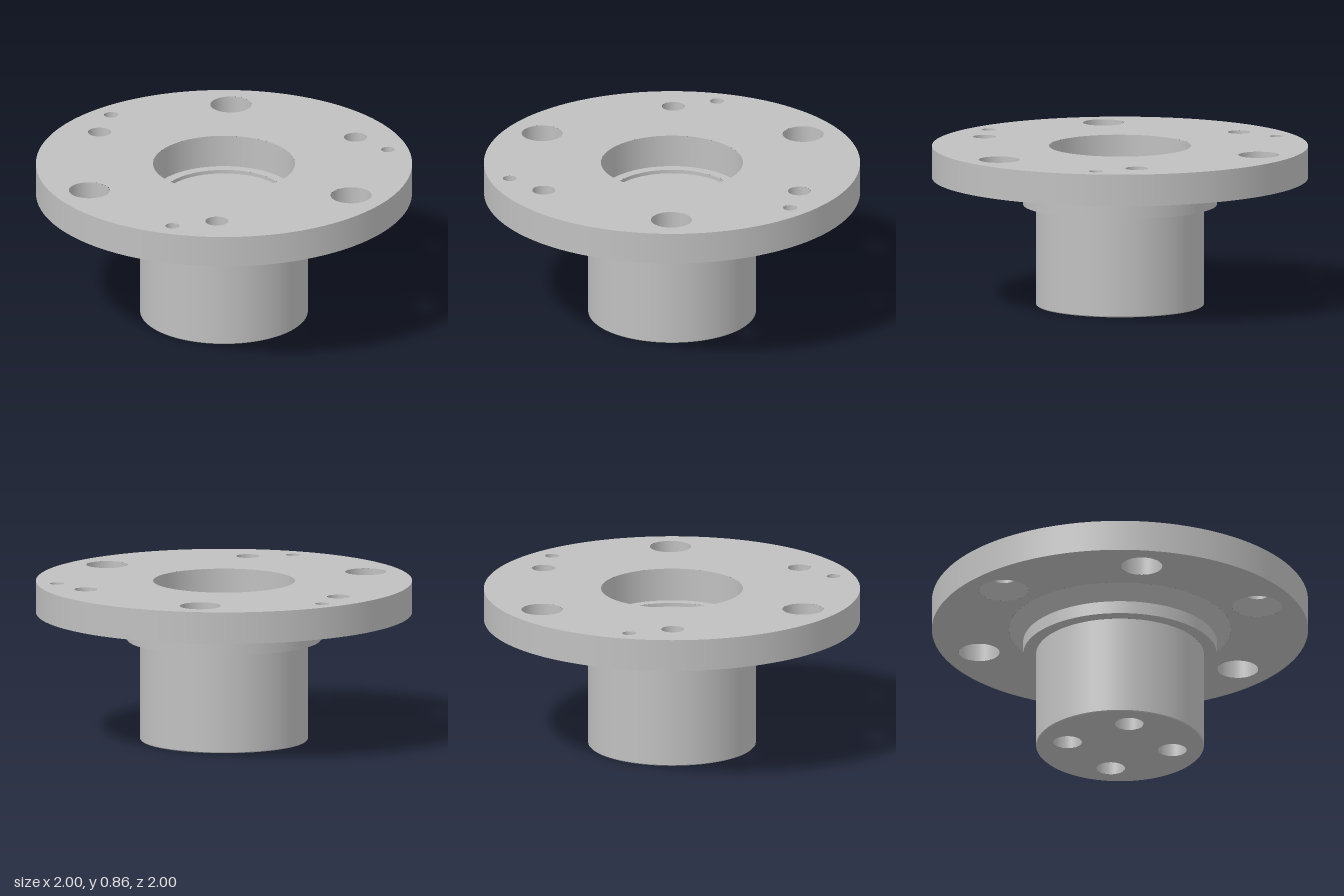
import * as THREE from 'three';
import { mergeGeometries } from 'three/addons/utils/BufferGeometryUtils.js';

const SEG = 96;

// Open ring wall between two radii and heights; inward = faces its own axis
function wall(rTop, yTop, rBottom, yBottom, [x, z] = [0, 0], inward = false) {
  const seg = Math.max(rTop, rBottom) > 0.2 ? SEG : 40;
  const g = new THREE.CylinderGeometry(rTop, rBottom, yTop - yBottom, seg, 1, true);
  g.translate(x, (yTop + yBottom) / 2, z);
  if (inward) {
    const idx = g.index.array;
    for (let i = 0; i < idx.length; i += 3) [idx[i], idx[i + 1]] = [idx[i + 1], idx[i]];
    const n = g.attributes.normal.array;
    for (let i = 0; i < n.length; i++) n[i] = -n[i];
  }
  return g;
}

// Flat disc facing up or down, with round holes given as [x, z, radius]
function disc(r, y, up, holes = [], [x, z] = [0, 0]) {
  const s = up ? -1 : 1;
  const shape = new THREE.Shape().absarc(x, s * z, r, 0, Math.PI * 2, false);
  for (const [hx, hz, hr] of holes) {
    shape.holes.push(new THREE.Path().absarc(hx, s * hz, hr, 0, Math.PI * 2, true));
  }
  const g = new THREE.ShapeGeometry(shape, r > 0.2 ? SEG : 40);
  g.rotateX(s * Math.PI / 2);
  g.translate(0, y, 0);
  return g;
}

export function createModel() {
  const model = new THREE.Group();
  const metal = new THREE.MeshStandardMaterial({ color: 0xc0c0c0 });
  metal.name = 'machined grey metal';
  const add = (name, parts) => {
    const mesh = new THREE.Mesh(mergeGeometries(parts), metal);
    mesh.name = name;
    model.add(mesh);
  };

  const top = 0.855, under = 0.685;
  const boltHoles = [[-0.19, -0.78], [0.77, 0.225], [-0.585, 0.55]];
  const sunkHoles = [[0.57, -0.54], [-0.755, -0.225], [0.183, 0.762]];
  const blindHoles = [[0.783, -0.428], [-0.762, -0.468], [-0.025, 0.89]];
  const sized = (list, r) => list.map(([x, z]) => [x, z, r]);

  // Flange plate
  add('flange', [
    disc(1, top, true, [
      [0, 0, 0.377], ...sized(boltHoles, 0.109), ...sized(sunkHoles, 0.061), ...sized(blindHoles, 0.037),
    ]),
    disc(1, under, false, [[0, 0, 0.59], ...sized(boltHoles, 0.109), ...sized(sunkHoles, 0.132)]),
    wall(1, top, 1, under),
  ]);

  // Holes through and into the flange
  add('boltHoles', boltHoles.map((c) => wall(0.109, top, 0.109, under, c, true)));
  add('countersunkHoles', sunkHoles.flatMap((c) => [
    wall(0.061, top, 0.061, under + 0.071, c, true),
    wall(0.061, under + 0.071, 0.132, under, c, true),
  ]));
  add('blindHoles', blindHoles.flatMap((c) => [
    wall(0.037, top, 0.037, top - 0.08, c, true),
    wall(0.037, top - 0.08, 0.018, top - 0.12, c, true),
    disc(0.018, top - 0.12, true, [], c),
  ]));

  // Stepped central recess
  add('centralRecess', [
    wall(0.377, top, 0.377, 0.68, [0, 0], true),
    disc(0.377, 0.68, true, [[0, 0, 0.325]]),
    wall(0.325, 0.68, 0.325, 0.66, [0, 0], true),
    disc(0.325, 0.66, true),
  ]);

  // Tapered neck and collar under the flange
  add('taperedNeck', [wall(0.59, under, 0.515, 0.61)]);
  add('collar', [wall(0.515, 0.61, 0.515, 0.54), disc(0.515, 0.54, false, [[0, 0, 0.446]])]);

  // Post with four blind holes in its end
  const endHoles = [[-0.2, -0.2], [0.2, -0.2], [-0.2, 0.2], [0.2, 0.2]];
  add('post', [
    wall(0.446, 0.54, 0.446, 0.005),
    wall(0.446, 0.005, 0.441, 0),
    disc(0.441, 0, false, sized(endHoles, 0.076)),
  ]);
  add('postEndHoles', endHoles.flatMap((c) => [
    wall(0.076, 0.3, 0.076, 0, c, true),
    disc(0.076, 0.3, false, [], c),
  ]));

  return model;
}
